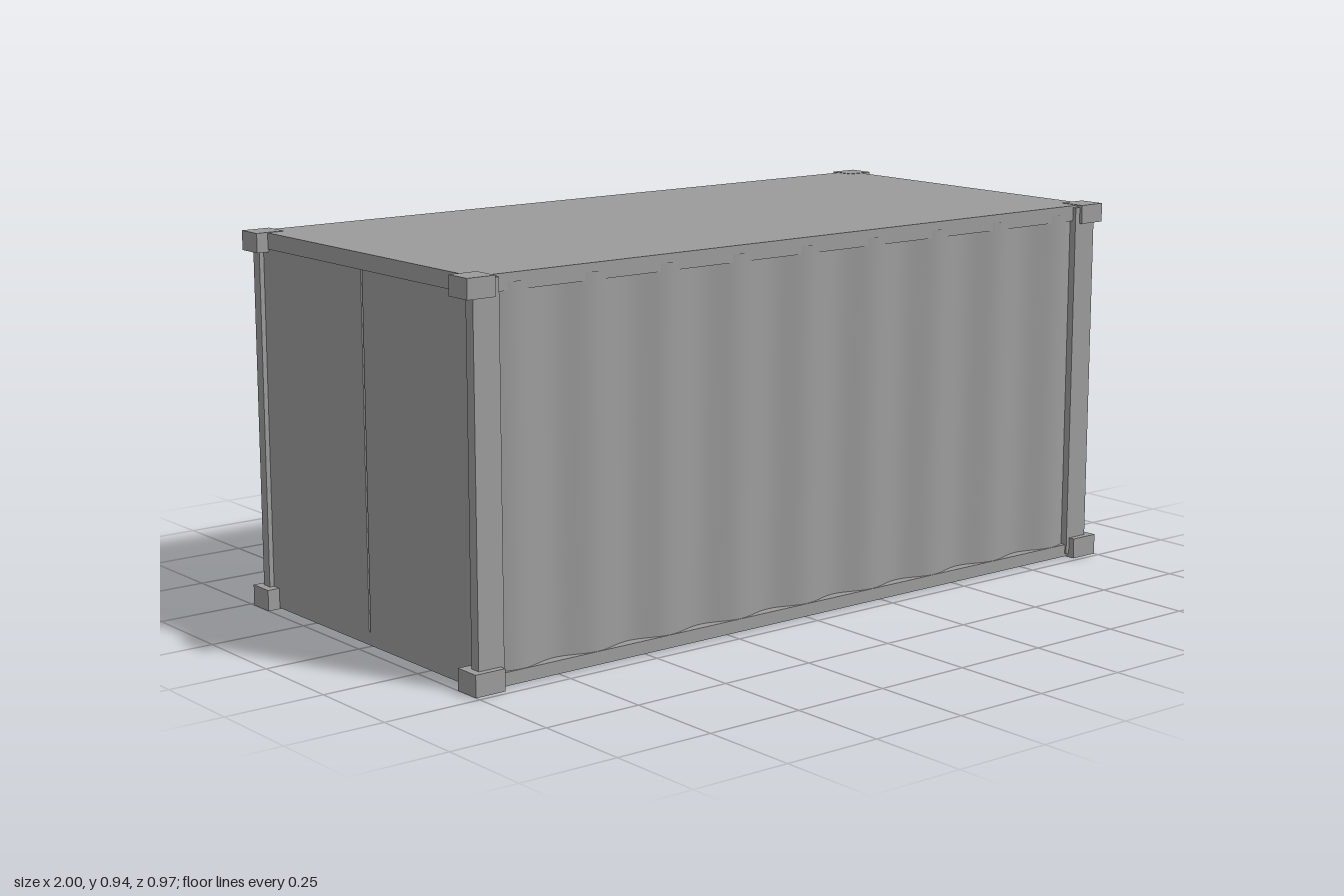
import * as THREE from 'three';

const material = new THREE.MeshStandardMaterial({ color: 0x9b9b9b });

export function createModel() {
  const model = new THREE.Group();
  model.name = 'shippingContainer';

  const add = (name, geometry) => {
    const mesh = new THREE.Mesh(geometry, material);
    mesh.name = name;
    model.add(mesh);
    return mesh;
  };
  // Box given by its lower and upper limits
  const box = (name, x0, x1, y0, y1, z0, z1) => {
    const mesh = add(name, new THREE.BoxGeometry(x1 - x0, y1 - y0, z1 - z0));
    mesh.position.set((x0 + x1) / 2, (y0 + y1) / 2, (z0 + z1) / 2);
  };
  // Limits mirrored to the negative side when s is -1
  const span = (s, a, b) => (s > 0 ? [a, b] : [-b, -a]);

  // Floor, roof, doors and the plain end with its centre seam
  box('floor', -0.968, 0.968, 0.003, 0.035, -0.465, 0.463);
  box('roof', -0.97, 0.969, 0.9, 0.94, -0.466, 0.458);
  box('doors', 0.93, 0.971, 0.004, 0.938, -0.45, 0.45);
  box('endSeam', -0.955, -0.93, 0.03, 0.905, -0.01, 0.01);
  for (const s of [-1, 1]) {
    box('endPanel', -0.968, -0.93, 0.03, 0.905, ...span(s, 0.003, 0.445));
  }

  // Corrugated side walls
  for (const s of [-1, 1]) {
    const wall = new THREE.PlaneGeometry(1.84, 0.9, 170, 1);
    const p = wall.attributes.position;
    for (let i = 0; i < p.count; i++) {
      p.setZ(i, 0.449 + 0.012 * Math.cos((p.getX(i) * 2 * Math.PI) / 0.214));
    }
    wall.computeVertexNormals();
    if (s < 0) wall.rotateY(Math.PI);
    add('corrugatedWall', wall).position.y = 0.47;
  }

  // Corner posts and corner castings
  for (const sx of [-1, 1]) {
    for (const sz of [-1, 1]) {
      box('cornerPost', ...span(sx, 0.91, 0.968), 0.01, 0.935, ...span(sz, 0.42, 0.468));
      if (sx < 0) box('postEdge', -0.98, -0.96, 0.01, 0.935, ...span(sz, 0.44, 0.468));
      box('lowerCasting', ...span(sx, 0.92, 1), 0, 0.053, ...span(sz, 0.415, 0.485));
      const top = sz > 0 ? [0.405, 0.476] : [-0.485, -0.415];
      box('upperCasting', ...span(sx, 0.925, 1), 0.893, 0.941, ...top);
    }
  }

  // Door post plates with tapered hinge tabs, drawn in (-z, y)
  for (const s of [-1, 1]) {
    const points = [[0.468, 0.01], [0.443, 0.01]];
    for (const y of [0.095, 0.488, 0.86]) {
      points.push([0.443, y - 0.02], [0.425, y - 0.02], [0.42, y - 0.018],
        [0.386, y - 0.015], [0.386, y + 0.014], [0.42, y + 0.017],
        [0.425, y + 0.021], [0.443, y + 0.021]);
    }
    points.push([0.443, 0.93], [0.468, 0.93]);
    const shape = new THREE.Shape(points.map(([z, y]) => new THREE.Vector2(-s * z, y)));
    const plate = new THREE.ExtrudeGeometry(shape, { depth: 0.018, bevelEnabled: false });
    add('hingePlate', plate.rotateY(Math.PI / 2)).position.x = 0.96;
  }

  // Locking bars with humped brackets, middle guides and end cams
  const bracket = (halfWidth, height) => {
    const shape = new THREE.Shape();
    shape.moveTo(0.96, -halfWidth);
    shape.lineTo(0.975, -halfWidth);
    shape.bezierCurveTo(0.979, -halfWidth * 0.4, 0.996, -0.016, 0.996, 0);
    shape.bezierCurveTo(0.996, 0.016, 0.979, halfWidth * 0.4, 0.975, halfWidth);
    shape.lineTo(0.96, halfWidth);
    const geometry = new THREE.ExtrudeGeometry(shape, { depth: height, bevelEnabled: false, curveSegments: 8 });
    return geometry.rotateX(-Math.PI / 2);
  };
  for (const z of [0.249, 0.12, -0.095, -0.239]) {
    const bar = add('lockingBar', new THREE.CylinderGeometry(0.01, 0.01, 0.92, 16));
    bar.position.set(0.982, 0.47, z);
    for (const y of [0.085, 0.785]) add('barBracket', bracket(0.027, 0.086)).position.set(0, y, z);
    add('barGuide', bracket(0.026, 0.016)).position.set(0, 0.465, z);
    for (const y of [0.006, 0.919]) add('barCam', bracket(0.015, 0.016)).position.set(0, y, z);
  }

  return model;
}
